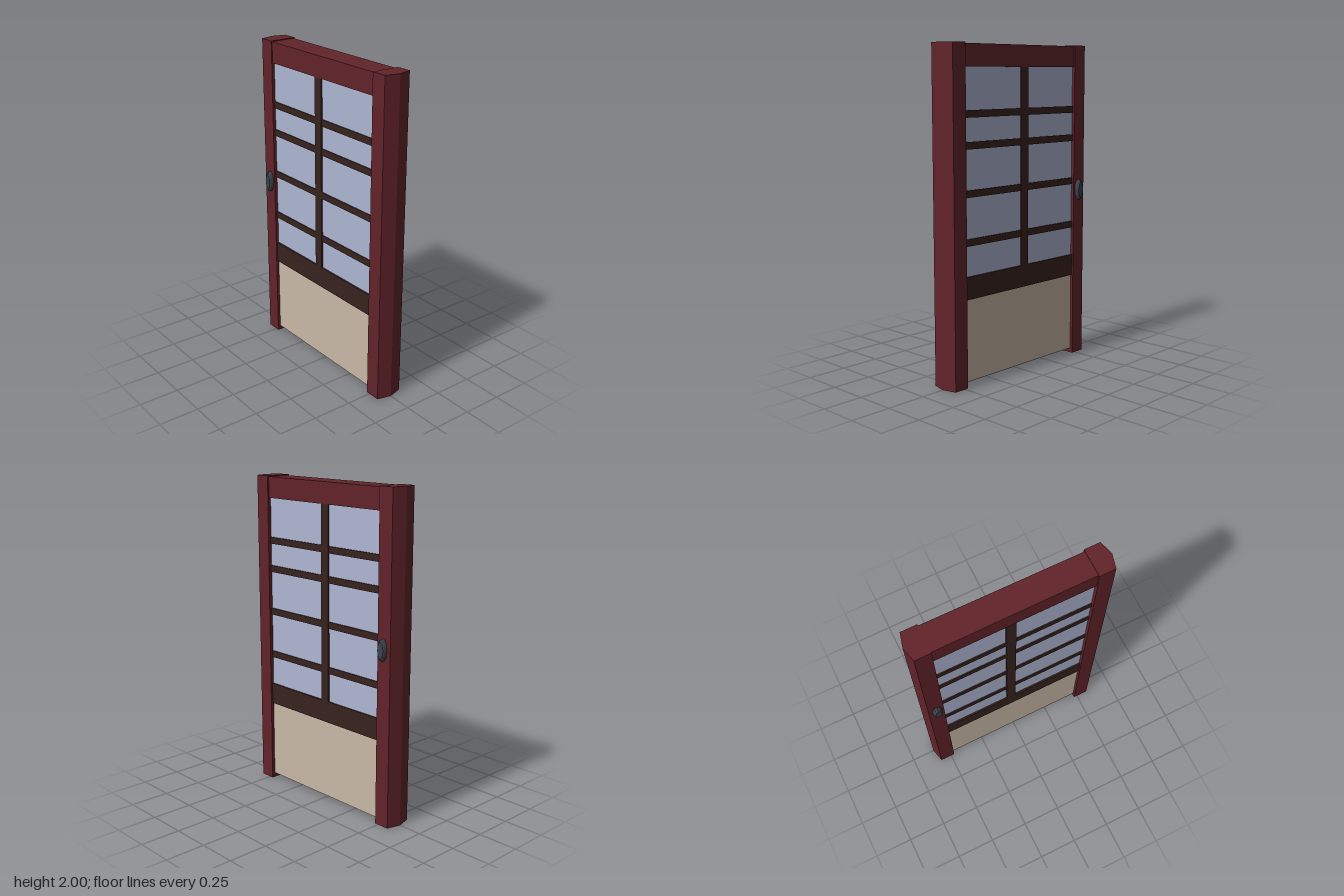
import * as THREE from 'three';

const paint = (color) => new THREE.MeshStandardMaterial({ color, flatShading: true });

export function createModel() {
  const door = new THREE.Group();
  door.name = 'slidingDoor';
  const red = paint(0x62242a), brown = paint(0x38231f), glass = paint(0xaeb7d2);
  const beige = paint(0xc9b9a6), metal = paint(0x3d444d);
  const postRed = paint(0x62242a);
  postRed.side = THREE.DoubleSide;

  const add = (name, geometry, material) => {
    const mesh = new THREE.Mesh(geometry, material);
    mesh.name = name;
    door.add(mesh);
    return mesh;
  };

  // Bar between two corners; the leaf gets slightly thinner towards +x
  const bar = (name, x0, x1, y0, y1, half, material) => {
    const g = new THREE.BoxGeometry(x1 - x0, y1 - y0, half * 2);
    g.translate((x0 + x1) / 2, (y0 + y1) / 2, 0);
    const p = g.attributes.position;
    for (let i = 0; i < p.count; i++) p.setZ(i, p.getZ(i) * (1 - 0.05 * p.getX(i)));
    add(name, g, material);
  };

  // Posts: prisms with a pointed outer side, capped on top, open below
  const outline = [[0.477, 0.087], [0.575, 0.087], [0.598, 0], [0.575, -0.087], [0.477, -0.087]];
  for (const side of [-1, 1]) {
    const pts = outline.map(([x, z]) => [x * side, z]);
    if (side < 0) pts.reverse();
    const v = [];
    pts.forEach(([ax, az], i) => {
      const [bx, bz] = pts[(i + 1) % pts.length];
      v.push(ax, 0, az, bx, 0, bz, bx, 2, bz, ax, 0, az, bx, 2, bz, ax, 2, az);
      v.push(0.53 * side, 2, 0, ax, 2, az, bx, 2, bz);
    });
    const g = new THREE.BufferGeometry();
    g.setAttribute('position', new THREE.Float32BufferAttribute(v, 3));
    g.computeVertexNormals();
    add(side < 0 ? 'rightPost' : 'leftPost', g, postRed);
  }

  // Rails and panels
  bar('topRail', -0.56, 0.56, 1.865, 1.995, 0.079, red);
  bar('middleRail', -0.56, 0.56, 0.525, 0.66, 0.076, brown);
  bar('lowerPanel', -0.56, 0.56, 0.03, 0.53, 0.068, beige);
  bar('glassPane', -0.56, 0.56, 0.65, 1.87, 0.066, glass);

  // Glazing bars
  bar('verticalBar', -0.055, 0.005, 0.655, 1.87, 0.076, brown);
  for (const y of [0.86, 1.143, 1.42, 1.6]) {
    bar('horizontalBar', -0.56, 0.56, y - 0.021, y + 0.021, 0.073, brown);
  }

  // Oval handles on both faces
  const profile = [[1, 0], [1, 0.008], [0.92, 0.018], [0.72, 0.027], [0, 0.027]]
    .map(([r, h]) => new THREE.Vector2(r, h));
  for (const side of [1, -1]) {
    const handle = add(side > 0 ? 'frontHandle' : 'backHandle', new THREE.LatheGeometry(profile, 12), metal);
    handle.geometry.rotateX(side * Math.PI / 2);
    handle.geometry.scale(0.031, 0.068, 1);
    handle.position.set(-0.52, 1.083, 0.085 * side);
  }
  return door;
}
